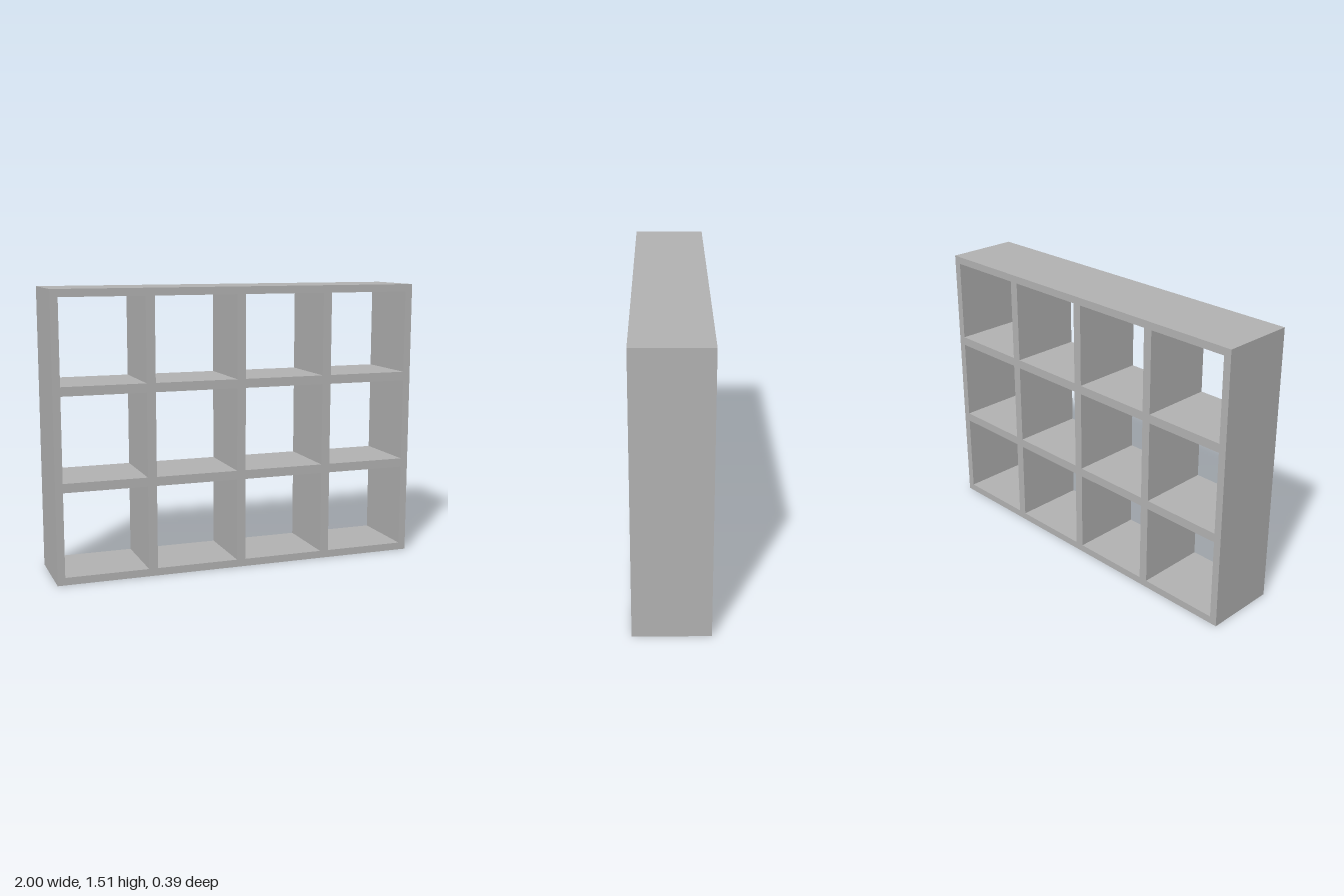
import * as THREE from 'three';

const COLS = 4, ROWS = 3;
const CELL = 0.444;     // square opening
const DIVIDER = 0.048;  // inner board thickness
const WALL = 0.04;      // outer board thickness
const DEPTH = 0.394;

const span = (n) => n * CELL + (n - 1) * DIVIDER + 2 * WALL;

// Rectangle outline from its lower left corner
function rectangle(path, x, y, w, h) {
  path.moveTo(x, y);
  path.lineTo(x + w, y);
  path.lineTo(x + w, y + h);
  path.lineTo(x, y + h);
  path.closePath();
  return path;
}

export function createModel() {
  const group = new THREE.Group();
  group.name = 'cubeShelf';
  const grey = new THREE.MeshStandardMaterial({ color: 0xb2b2b2 });
  grey.name = 'light grey';

  // Outer case, open through from front to back
  const width = span(COLS), height = span(ROWS);
  const outline = rectangle(new THREE.Shape(), -width / 2, 0, width, height);

  // Grid of compartments
  const pitch = CELL + DIVIDER;
  for (let row = 0; row < ROWS; row++) {
    for (let col = 0; col < COLS; col++) {
      const x = -width / 2 + WALL + col * pitch;
      const y = WALL + row * pitch;
      outline.holes.push(rectangle(new THREE.Path(), x, y, CELL, CELL));
    }
  }

  const geometry = new THREE.ExtrudeGeometry(outline, { depth: DEPTH, bevelEnabled: false });
  geometry.translate(0, 0, -DEPTH / 2);
  const shelf = new THREE.Mesh(geometry, grey);
  shelf.name = 'shelfFrame';
  group.add(shelf);
  return group;
}
